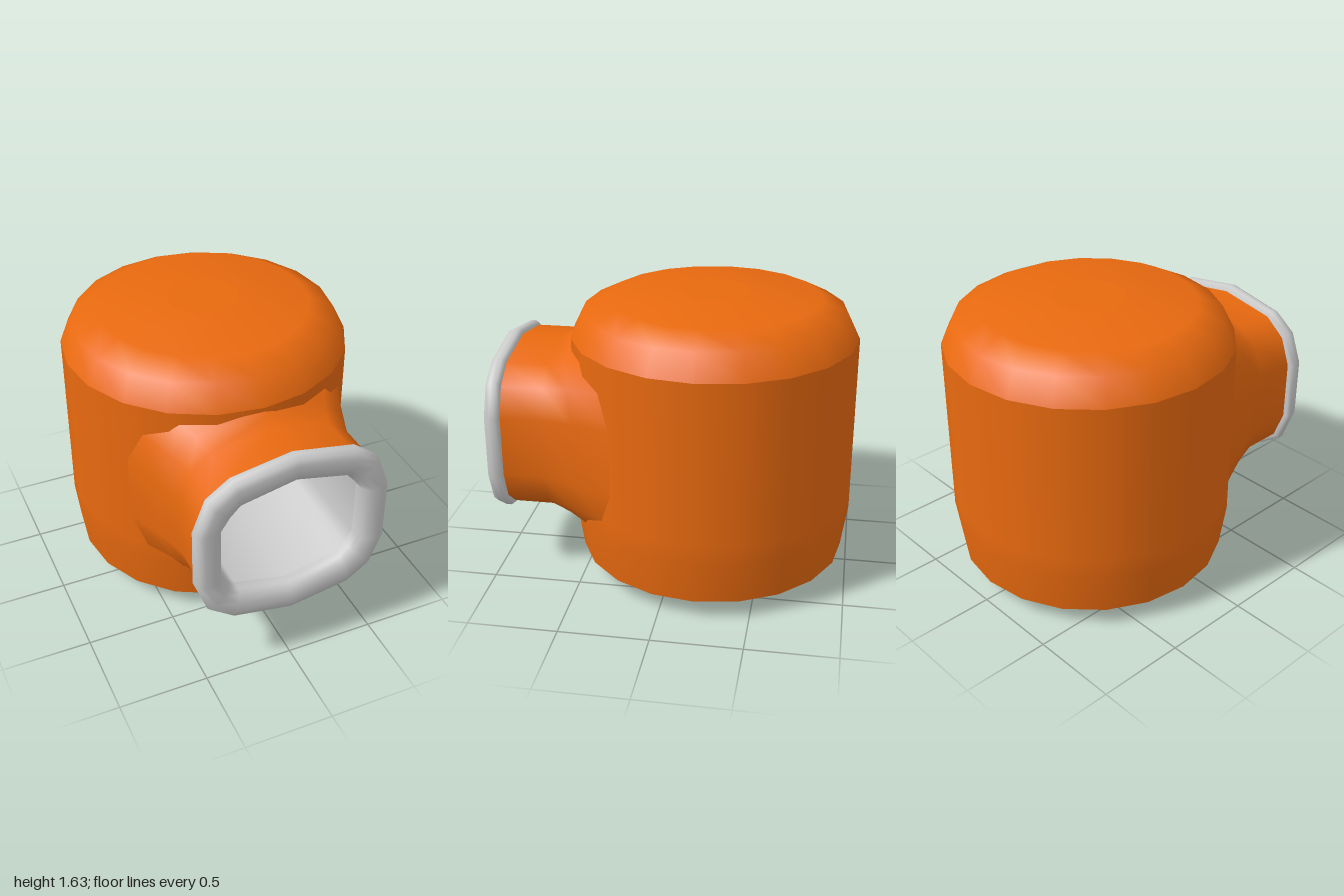
import * as THREE from 'three';

const CY = 0.835;      // height of the neck axis
const CZ = -0.2;       // z of the body axis
const R = 0.8;         // body radius

// Closed 14-point outline from four points of its upper right quarter
function outline(q) {
  const up = [...q].reverse();                       // side -> top
  const pts = [...up, ...q.slice(1).map(([x, y]) => [-x, y])];
  return [...pts, ...pts.slice(1, -1).reverse().map(([x, y]) => [x, -y]),
    ...[]].length && [
    ...up,
    ...q.slice(1).map(([x, y]) => [-x, y]),
    ...up.map(([x, y]) => [-x, -y]),
    ...q.slice(1).map(([x, y]) => [x, -y]),
  ];
}

const outer = outline([[0, 0.51], [0.34, 0.45], [0.475, 0.355], [0.545, 0.17]]);
const inner = outline([[0, 0.352], [0.3, 0.285], [0.35, 0.228], [0.395, 0.165]]);
const neckLine = outline([[0, 0.48], [0.33, 0.425], [0.45, 0.33], [0.51, 0.17]]);

// Skin over closed rings of [x, y, z], front to back for an outward surface
function loft(rings) {
  const n = rings[0].length, idx = [];
  for (let i = 0; i < rings.length - 1; i++) {
    for (let j = 0; j < n; j++) {
      const k = (j + 1) % n;
      const a = i * n + j, b = i * n + k, c = a + n, d = b + n;
      idx.push(a, c, b, b, c, d);
    }
  }
  const g = new THREE.BufferGeometry();
  g.setAttribute('position', new THREE.Float32BufferAttribute(rings.flat(2), 3));
  g.setIndex(idx);
  g.computeVertexNormals();
  return g;
}

export function createModel() {
  const model = new THREE.Group();
  const orange = new THREE.MeshStandardMaterial({ color: 0xe8690f });
  const grey = new THREE.MeshStandardMaterial({ color: 0xcccccc });

  const add = (name, geometry, material, parent = model) => {
    const mesh = new THREE.Mesh(geometry, material);
    mesh.name = name;
    parent.add(mesh);
    return mesh;
  };

  // Body: turned sections, with a window in the wall behind the neck
  const body = new THREE.Group();
  body.name = 'body';
  body.position.z = CZ;
  model.add(body);
  const turn = (name, profile, skip = 0) => add(name, new THREE.LatheGeometry(
    profile.map(([r, y]) => new THREE.Vector2(r, y)), 20 - 2 * skip,
    skip * Math.PI / 10, Math.PI * 2 - skip * Math.PI / 5), orange, body);
  turn('base', [[0, 0], [0.4, 0], [0.65, 0.04], [0.765, 0.11]]);
  turn('lowerWall', [[0.765, 0.11], [R, 0.36], [R, CY - 0.36]]);
  turn('middleWall', [[R, CY - 0.36], [R, CY + 0.36]], 2);
  turn('upperWall', [[R, CY + 0.36], [R, 1.39]]);
  turn('shoulder', [[R, 1.39], [0.73, 1.53], [0.59, 1.6], [0.2, 1.635]]);
  turn('topDisc', [[0.2, 1.635], [0, 1.635]]);

  // Neck: straight sleeve flaring out onto the curved body wall
  const wallZ = (x) => CZ + Math.sqrt(R * R - x * x);
  const neckRing = (sx, sy, z) => neckLine.map(([x, y]) => [x * sx, CY + y * sy, z(x * sx)]);
  add('neck', loft([
    neckRing(1, 1, () => 0.92),
    neckRing(1, 1, () => 0.68),
    neckRing(1.1, 1.07, (x) => wallZ(x) + 0.015 + 0.35 * x * x),
    neckRing(1.28, 1.15, (x) => wallZ(x) - 0.015),
  ]), orange);

  // Collar: rounded rim blended between the inner and outer outlines
  const rimRing = ([t, z]) => inner.map(([x, y], i) => [
    x + (outer[i][0] - x) * t, CY + y + (outer[i][1] - y) * t, z]);
  add('collar', loft([
    [0, 0.9], [0, 0.95], [0.1, 0.98], [0.35, 1], [0.7, 1],
    [0.9, 0.99], [1, 0.96], [1, 0.93], [0.9, 0.91], [0.6, 0.905],
  ].map(rimRing)), grey);

  // Hollow inside, from its closed rounded end out to the collar
  add('hollow', loft([
    [0.001, -0.2], [0.6, -0.15], [0.9, 0], [1, 0.3], [1, 0.9],
  ].map(([s, z]) => inner.map(([x, y]) => [x * s, CY + y * s, z]))), grey);

  return model;
}
